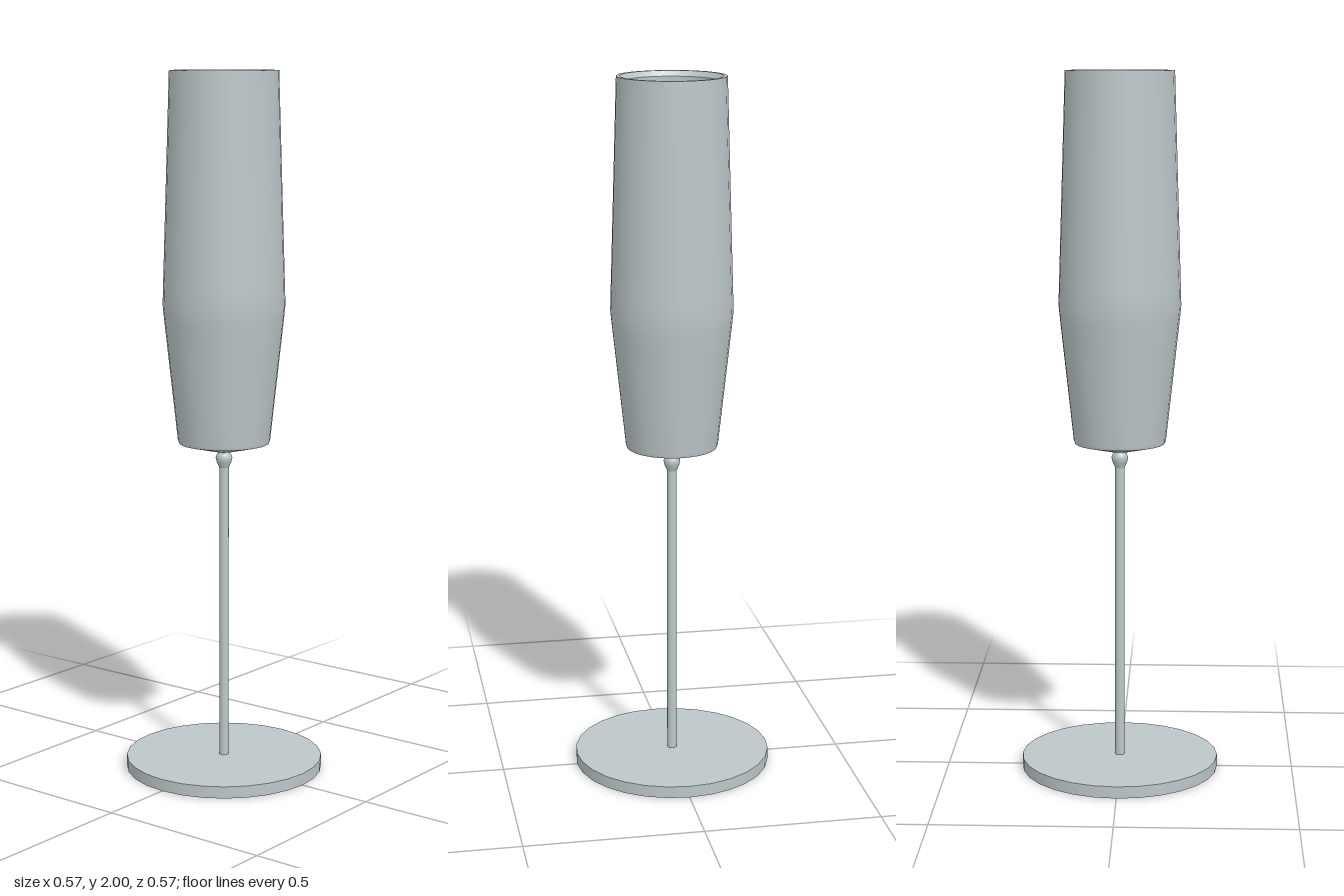
import * as THREE from 'three';

const SIDES = 28;

// Revolves a profile; a repeated point makes a sharp edge there.
function lathe(name, profile, material) {
  const points = profile.map(([r, y]) => new THREE.Vector2(r, y));
  const mesh = new THREE.Mesh(new THREE.LatheGeometry(points, SIDES), material);
  mesh.name = name;
  return mesh;
}

export function createModel() {
  const group = new THREE.Group();
  group.name = 'champagneFlute';
  const glass = new THREE.MeshStandardMaterial({ color: 0xbcc6c9 });
  glass.name = 'pale grey glass';

  // Flat disc foot
  const foot = new THREE.Mesh(new THREE.CylinderGeometry(0.283, 0.283, 0.034, SIDES), glass);
  foot.position.y = 0.017;
  foot.name = 'foot';
  group.add(foot);

  // Thin stem swelling into a small knob under the bowl
  group.add(lathe('stem', [
    [0.0135, 0.03], [0.0135, 0.885], [0.0135, 0.885], [0.021, 0.902],
    [0.024, 0.914], [0.02, 0.924], [0.012, 0.932], [0.012, 0.95],
  ], glass));

  // Outer wall of the bowl, from the shallow cone underneath up to the rim
  group.add(lathe('bowlOutside', [
    [0, 0.93], [0.03, 0.933], [0.128, 0.957], [0.128, 0.957], [0.131, 0.965],
    [0.168, 1.305], [0.1725, 1.35], [0.171, 1.4], [0.152, 2],
  ], glass));

  // Flat rim, with the hollow inside running down to the floor
  group.add(lathe('bowlInside', [
    [0.152, 2], [0.142, 2], [0.142, 2], [0.132, 1.985], [0.132, 1.985],
    [0.153, 1.38], [0.153, 1.33], [0.114, 0.98], [0.08, 0.962], [0, 0.95],
  ], glass));

  return group;
}
